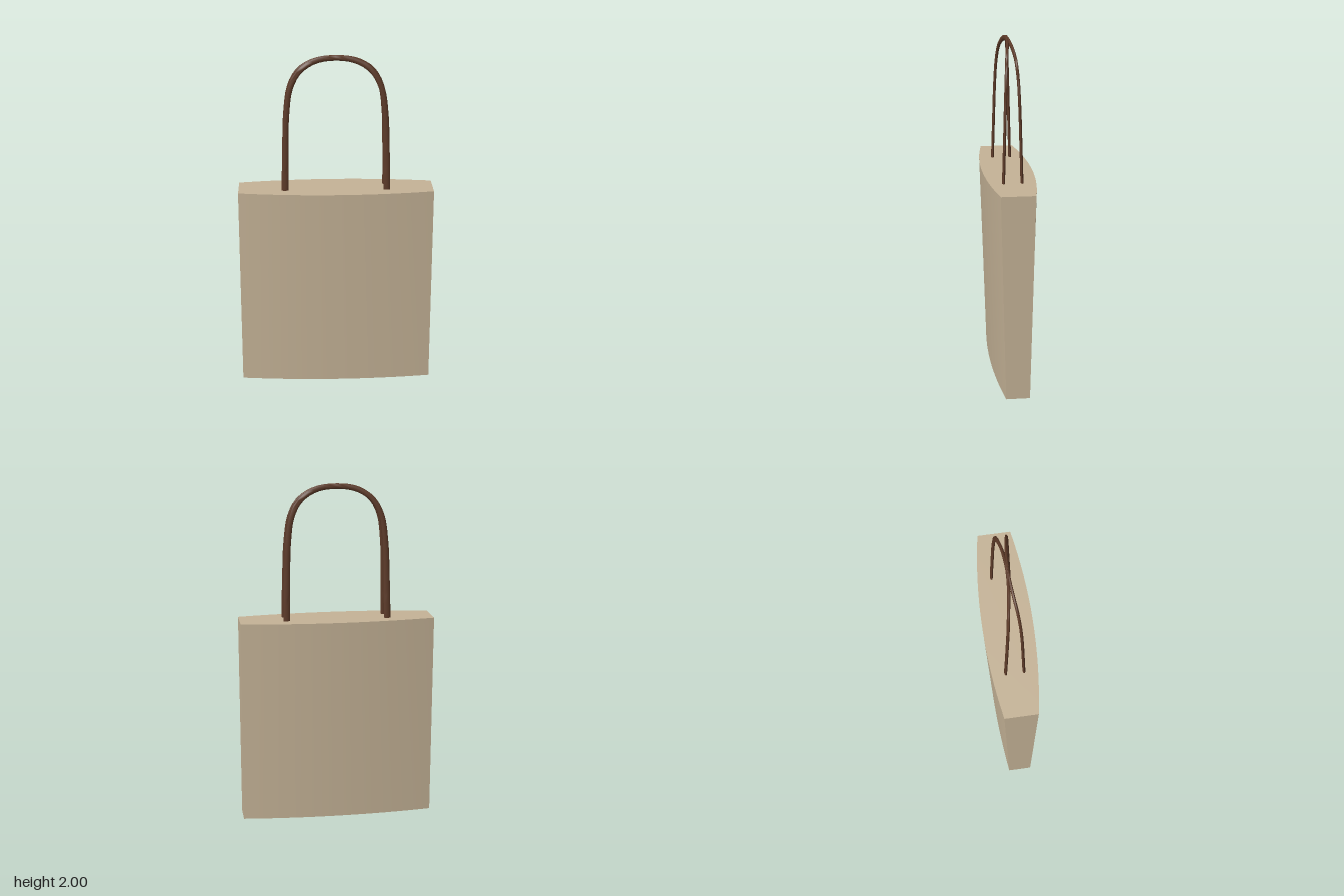
import * as THREE from 'three';
import { toCreasedNormals } from 'three/addons/utils/BufferGeometryUtils.js';

const HEIGHT = 1.21, HALF_WIDTH = 0.57;
const canvas = new THREE.MeshStandardMaterial({ color: 0xc4b296 });
const leather = new THREE.MeshStandardMaterial({ color: 0x5c3a28, side: THREE.DoubleSide });

// Bag body: lens-shaped outline with blunt ends, narrowing in depth towards the base
function bagBody() {
  const outline = [], n = 16;
  for (const side of [1, -1]) {
    for (let i = 0; i <= n; i++) {
      const t = side * (1 - (2 * i) / n);
      outline.push(new THREE.Vector2(t * HALF_WIDTH, side * (0.148 - 0.05 * t * t)));
    }
  }
  const geo = new THREE.ExtrudeGeometry(new THREE.Shape(outline), { depth: HEIGHT, bevelEnabled: false });
  geo.rotateX(-Math.PI / 2);
  const p = geo.attributes.position;
  for (let i = 0; i < p.count; i++) {
    p.setZ(i, p.getZ(i) * THREE.MathUtils.lerp(0.7, 1, p.getY(i) / HEIGHT));
  }
  return toCreasedNormals(geo, 0.5);
}

// Handle: arched strap with a flattened oval section, leaning in to meet its twin at the top
function strap(side) {
  const half = [[0.298, 1.2, 0.053], [0.293, 1.45, 0.046], [0.285, 1.66, 0.04], [0.262, 1.815, 0.033],
    [0.21, 1.91, 0.024], [0.12, 1.967, 0.01]];
  const pts = [...half, [0, 1.984, 0.002], ...half.slice().reverse().map(([x, y, z]) => [-x, y, z])];
  const path = new THREE.CatmullRomCurve3(pts.map(([x, y, z]) => new THREE.Vector3(x, y, z * side)));
  const segments = 56, around = 10;
  const geo = new THREE.TubeGeometry(path, segments, 0.02, around);
  const p = geo.attributes.position, v = new THREE.Vector3();
  for (let i = 0; i <= segments; i++) {
    const c = path.getPointAt(i / segments);
    const slim = 1 - 0.2 * Math.sin((Math.PI * i) / segments);
    for (let j = 0; j <= around; j++) {
      const k = i * (around + 1) + j;
      v.fromBufferAttribute(p, k).sub(c);
      p.setXYZ(k, c.x + v.x * slim, c.y + v.y * slim, c.z + v.z * 0.42);
    }
  }
  return toCreasedNormals(geo, 1.2);
}

export function createModel() {
  const group = new THREE.Group();
  group.name = 'toteBag';
  const add = (name, geometry, material) => {
    const mesh = new THREE.Mesh(geometry, material);
    mesh.name = name;
    group.add(mesh);
  };
  add('bagBody', bagBody(), canvas);
  add('frontHandle', strap(1), leather);
  add('backHandle', strap(-1), leather);
  return group;
}
